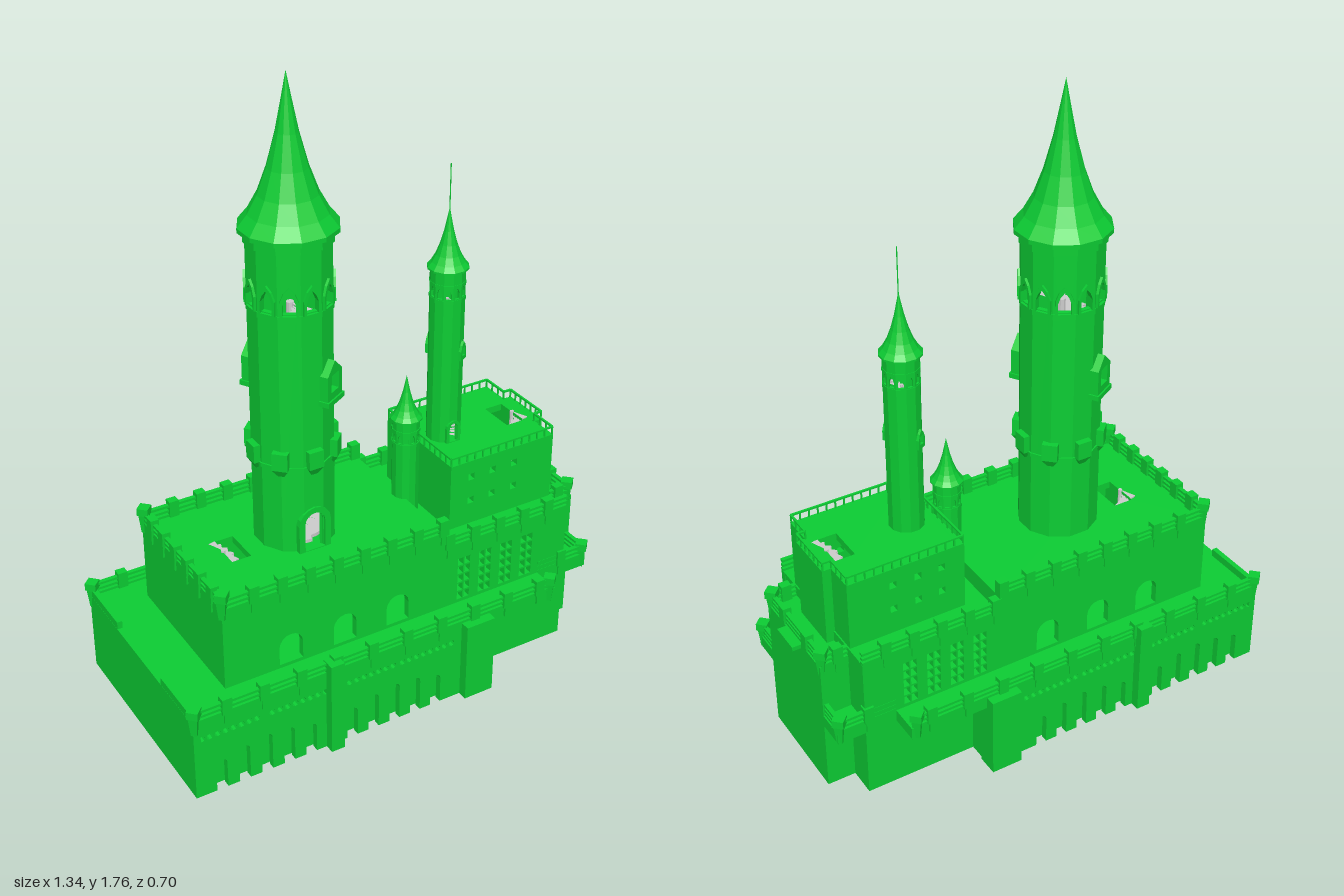
import * as THREE from 'three';

const green = new THREE.MeshStandardMaterial({ color: 0x0ccc33, flatShading: true, side: THREE.DoubleSide });
const grey = new THREE.MeshStandardMaterial({ color: 0xcccccc, flatShading: true, side: THREE.DoubleSide });
const V2 = (p) => new THREE.Vector2(p[0], p[1]);

function add(parent, name, geo, x = 0, y = 0, z = 0, mat = green) {
  const m = new THREE.Mesh(geo, mat);
  m.name = name;
  m.position.set(x, y, z);
  parent.add(m);
  return m;
}
// box given by its limits
function block(parent, name, x0, x1, y0, y1, z0, z1) {
  return add(parent, name, new THREE.BoxGeometry(x1 - x0, y1 - y0, z1 - z0), (x0 + x1) / 2, (y0 + y1) / 2, (z0 + z1) / 2);
}
function group(parent, name, x = 0, y = 0, z = 0) {
  const g = new THREE.Group();
  g.name = name;
  g.position.set(x, y, z);
  parent.add(g);
  return g;
}

// outlines of openings
const rect = (x, y, w, h) => [[x - w / 2, y], [x + w / 2, y], [x + w / 2, y + h], [x - w / 2, y + h]];
const disc = (x, y, r) => Array.from({ length: 8 }, (_, i) => [x + r * Math.cos(i * Math.PI / 4), y + r * Math.sin(i * Math.PI / 4)]);
function arch(x, y, w, h) {
  const pts = [[x - w / 2, y]];
  for (let i = 0; i <= 8; i++) {
    const a = Math.PI * (1 - i / 8);
    pts.push([x + w / 2 * Math.cos(a), y + h - w / 2 + w / 2 * Math.sin(a)]);
  }
  pts.push([x + w / 2, y]);
  return pts;
}
const pointed = (x, y, w, h) => [[x - w / 2, y], [x + w / 2, y], [x + w / 2, y + h * 0.5], [x + w * 0.3, y + h * 0.8], [x, y + h], [x - w * 0.3, y + h * 0.8], [x - w / 2, y + h * 0.5]];

// plate with its outer face at z = 0
function plate(outline, holes, t) {
  const s = new THREE.Shape(outline.map(V2));
  s.holes = holes.map((h) => new THREE.Path(h.map(V2)));
  return new THREE.ExtrudeGeometry(s, { depth: t, bevelEnabled: false }).translate(0, 0, -t);
}
// same wall on the front and the back
function wallPair(parent, name, outline, holes, z, t = 0.02) {
  for (const s of [1, -1]) {
    const flip = (pts) => pts.map(([x, y]) => [x * s, y]);
    add(parent, name, plate(flip(outline), holes.map(flip), t), 0, 0, s * z).rotation.y = s > 0 ? 0 : Math.PI;
  }
}
// flat roof with a stair opening
function roof(parent, name, x0, x1, z, y, hole) {
  const g = plate([[x0, -z], [x1, -z], [x1, z], [x0, z]], hole ? [hole] : [], 0.02);
  add(parent, name, g, 0, y, 0).rotation.x = -Math.PI / 2;
}
// two rails with merlons standing on the given floor
function parapet(parent, [xa, za], [xb, zb], y, at) {
  const g = group(parent, 'parapet', xa, y, za);
  const len = Math.hypot(xb - xa, zb - za);
  g.rotation.y = -Math.atan2(zb - za, xb - xa);
  for (const h of [0.004, 0.018, 0.033]) add(g, 'rail', new THREE.BoxGeometry(len, 0.007, 0.012), len / 2, h, 0);
  for (const d of at) {
    add(g, 'merlon', new THREE.BoxGeometry(0.028, 0.048, 0.024), d, 0.024, 0);
    add(g, 'corbel', new THREE.BoxGeometry(0.016, 0.03, 0.02), d, -0.015, 0);
  }
}
const spaced = (start, step, n) => Array.from({ length: n }, (_, i) => start + i * step);
// square corner turret, wider at the top
function cornerPost(parent, x, y, z) {
  add(parent, 'cornerPost', new THREE.CylinderGeometry(0.018, 0.011, 0.06, 4), x, y, z);
  add(parent, 'cornerPostCap', new THREE.CylinderGeometry(0.022, 0.022, 0.022, 4), x, y + 0.038, z);
}
function spiralStair(parent, x, z, y0, y1, r, theta0 = 0) {
  const g = group(parent, 'spiralStair', x, 0, z);
  const n = Math.round((y1 - y0) / 0.012);
  for (let i = 0; i < n; i++) {
    const step = new THREE.CylinderGeometry(r, r, 0.01, 2, 1, false, theta0 - i * Math.PI / 9, Math.PI / 8);
    add(g, 'step', step, 0, y1 - 0.006 - i * 0.012, 0, grey);
  }
  add(g, 'newel', new THREE.CylinderGeometry(r * 0.12, r * 0.12, y1 - y0, 8), 0, (y0 + y1) / 2, 0, grey);
}
// many-sided hollow tower, holesFor(k) lists the openings of side k
function tower(parent, name, x, y0, y1, r, n, holesFor) {
  const g = group(parent, name, x, 0, 0);
  const w = r * Math.tan(Math.PI / n);
  for (let k = 0; k < n; k++) {
    const a = k * 2 * Math.PI / n;
    const m = add(g, 'towerSide', plate([[-w, y0], [w, y0], [w, y1], [-w, y1]], holesFor(k), r * 0.12), r * Math.sin(a), 0, r * Math.cos(a));
    m.rotation.y = a;
  }
  return g;
}
function turned(parent, name, pts, n) {
  return add(parent, name, new THREE.LatheGeometry(pts.map(V2), n, Math.PI / n));
}
const ring = (parent, name, r, y0, y1, n, inner = r * 0.85) =>
  turned(parent, name, [[inner, y0], [r, y0], [r, y1], [inner, y1]], n);
// flared pointed roof
function spireRoof(parent, r, y0, y1, n) {
  const h = y1 - y0;
  turned(parent, 'spireRoof', [[0, y0], [r, y0], [r, y0 + 0.03 * h], [r * 0.8, y0 + 0.11 * h], [r * 0.6, y0 + 0.23 * h],
    [r * 0.41, y0 + 0.4 * h], [r * 0.23, y0 + 0.62 * h], [r * 0.1, y0 + 0.83 * h], [0, y1]], n);
}

export function createModel() {
  const model = new THREE.Group();
  model.name = 'castle';

  // lower storey: arcaded skin over a plain inner wall, open underneath
  const base = group(model, 'lowerStorey');
  const skin = [[-0.655, 0.24], [-0.655, 0]];
  for (const x0 of [-0.58, -0.19])
    [0.095, 0.112, 0.12, 0.112, 0.095].forEach((h, i) => skin.push(...arch(x0 + i * 0.066, 0, 0.032, h)));
  skin.push([0.24, 0], [0.24, 0.24]);
  const portholes = [];
  for (const x0 of [-0.632, -0.43, -0.222, -0.035])
    for (let i = 0; i < 8; i++) portholes.push(disc(x0 + i * 0.0225, 0.185, 0.009));
  wallPair(base, 'arcadeWall', skin, portholes, 0.32);
  wallPair(base, 'innerWall', rect(-0.2075, 0, 0.895, 0.22), [], 0.295, 0.01);
  wallPair(base, 'recessedWall', rect(0.4, 0, 0.32, 0.22), [], 0.235);
  wallPair(base, 'endWallSide', rect(0.6, 0, 0.08, 0.4), [], 0.155);
  block(base, 'leftEndWall', -0.655, -0.635, 0, 0.24, -0.32, 0.32);
  block(base, 'rightEndWall', 0.62, 0.64, 0, 0.4, -0.155, 0.155);
  block(base, 'terraceFloor', -0.655, 0.47, 0.205, 0.24, -0.318, 0.318);
  block(base, 'rightTerraceFloor', 0.47, 0.64, 0.205, 0.24, -0.235, 0.235);
  block(base, 'upperTerrace', 0.55, 0.64, 0.38, 0.4, -0.155, 0.155);
  block(base, 'balconySlab', 0.64, 0.665, 0.388, 0.4, -0.045, 0.045);
  for (const s of [1, -1]) {
    add(base, 'narrowButtress', new THREE.BoxGeometry(0.04, 0.28, 0.04), -0.25, 0.14, s * 0.327);
    add(base, 'wideButtress', new THREE.BoxGeometry(0.09, 0.24, 0.06), 0.2, 0.12, s * 0.318);
    add(base, 'returnWall', new THREE.BoxGeometry(0.02, 0.22, 0.09), 0.23, 0.11, s * 0.27);
    add(base, 'stepWall', new THREE.BoxGeometry(0.02, 0.22, 0.09), 0.55, 0.11, s * 0.19);
    add(base, 'leftKerb', new THREE.BoxGeometry(0.015, 0.025, 0.18), -0.647, 0.25, s * 0.225);
    parapet(base, [-0.65, s * 0.315], [0.46, s * 0.315], 0.24, spaced(0.09, 0.108, 10));
    parapet(base, [0.47, s * 0.23], [0.635, s * 0.23], 0.24, [0.08]);
    parapet(base, [0.63, s * 0.23], [0.63, s * 0.155], 0.24, []);
    parapet(base, [0.56, s * 0.15], [0.635, s * 0.15], 0.4, [0.03]);
    cornerPost(base, -0.648, 0.235, s * 0.315);
    cornerPost(base, 0.452, 0.235, s * 0.315);
    cornerPost(base, 0.63, 0.235, s * 0.228);
    cornerPost(base, 0.63, 0.4, s * 0.145);
  }
  parapet(base, [0.63, -0.145], [0.63, 0.145], 0.4, [0.08, 0.21]);

  // middle storey: arches and lattice windows through both long walls
  const middle = group(model, 'middleStorey');
  const openings = [-0.325, -0.162, 0.002].map((x) => arch(x, 0.25, 0.07, 0.088));
  for (const x of [0.215, 0.285, 0.355, 0.425])
    for (const dx of [-0.011, 0.011])
      for (let j = 0; j < 5; j++) openings.push(rect(x + dx, 0.25 + j * 0.028, 0.018, 0.023));
  wallPair(middle, 'longWall', [[-0.52, 0.23], [0.56, 0.23], [0.56, 0.43], [0.155, 0.43], [0.155, 0.48], [-0.52, 0.48]], openings, 0.235);
  block(middle, 'leftWall', -0.52, -0.5, 0.23, 0.48, -0.234, 0.234);
  block(middle, 'rightWall', 0.54, 0.559, 0.23, 0.43, -0.234, 0.234);
  block(middle, 'roofStep', 0.14, 0.155, 0.41, 0.48, -0.234, 0.234);
  roof(middle, 'mainRoof', -0.519, 0.154, 0.234, 0.48, rect(-0.368, -0.053, 0.056, 0.106));
  roof(middle, 'lowRoof', 0.15, 0.559, 0.234, 0.43);
  spiralStair(middle, -0.395, 0, 0.24, 0.485, 0.05, Math.PI);
  for (const s of [1, -1]) {
    parapet(middle, [-0.515, s * 0.23], [0.155, s * 0.23], 0.48, spaced(0.085, 0.082, 8));
    parapet(middle, [0.155, s * 0.23], [0.56, s * 0.23], 0.43, spaced(0.01, 0.082, 5));
    cornerPost(middle, -0.515, 0.485, s * 0.228);
  }
  parapet(middle, [-0.515, -0.23], [-0.515, 0.23], 0.48, spaced(0.056, 0.07, 6));

  // keep with small square windows and a railed roof
  const keep = group(model, 'keep');
  const windows = [];
  for (const x of [0.283, 0.353, 0.425]) for (const y of [0.495, 0.57]) windows.push(rect(x, y, 0.02, 0.02));
  wallPair(keep, 'keepWall', rect(0.385, 0.42, 0.34, 0.21), windows, 0.16);
  block(keep, 'keepLeftWall', 0.215, 0.23, 0.42, 0.63, -0.159, 0.159);
  block(keep, 'keepRightWall', 0.54, 0.555, 0.42, 0.63, -0.159, 0.159);
  block(keep, 'keepBay', 0.55, 0.58, 0.39, 0.63, -0.075, 0.075);
  roof(keep, 'keepRoof', 0.216, 0.554, 0.159, 0.63, rect(0.503, -0.053, 0.056, 0.106));
  spiralStair(keep, 0.53, 0, 0.43, 0.634, 0.05, 0);
  const edge = [[0.217, -0.157], [0.553, -0.157], [0.553, -0.073], [0.577, -0.073], [0.577, 0.073], [0.553, 0.073], [0.553, 0.157], [0.217, 0.157]];
  edge.forEach(([x, z], i) => {
    const [x2, z2] = edge[(i + 1) % edge.length];
    const len = Math.hypot(x2 - x, z2 - z);
    const g = group(keep, 'railing', x, 0.63, z);
    g.rotation.y = -Math.atan2(z2 - z, x2 - x);
    add(g, 'handrail', new THREE.BoxGeometry(len, 0.005, 0.006), len / 2, 0.024, 0);
    const n = Math.max(1, Math.round(len / 0.026));
    for (let k = 0; k < n; k++) add(g, 'baluster', new THREE.BoxGeometry(0.004, 0.024, 0.004), k * len / n, 0.012, 0);
  });

  // great tower
  const great = tower(model, 'greatTower', -0.18, 0.47, 1.36, 0.108, 12, (k) => {
    const h = [pointed(0, 1.175, 0.034, 0.06)];
    if (k === 0) h.push(arch(0, 0.482, 0.054, 0.11));
    if (k % 6 === 1) h.push(rect(0, 0.945, 0.03, 0.04));
    if (k % 3 === 0) h.push(rect(0, 0.74, 0.025, 0.025));
    return h;
  });
  const doorFrame = plate(arch(0, 0.48, 0.095, 0.13), [arch(0, 0.482, 0.06, 0.112)], 0.03);
  add(great, 'doorFrame', doorFrame, 0, 0, 0.114);
  ring(great, 'galleryBand', 0.114, 1.155, 1.17, 12);
  ring(great, 'corniceBand', 0.117, 1.335, 1.365, 12);
  ring(great, 'lowerBand', 0.116, 0.727, 0.738, 12);
  for (let k = 0; k < 12; k++) {
    const side = group(great, 'galleryBay');
    side.rotation.y = k * Math.PI / 6;
    add(side, 'windowHood', plate(pointed(0, 1.17, 0.048, 0.078), [pointed(0, 1.172, 0.034, 0.062)], 0.01), 0, 0, 0.115);
  }
  for (let k = 0; k < 8; k++) {
    const bay = group(great, 'oriel');
    bay.rotation.y = k * Math.PI / 4;
    const box = new THREE.CylinderGeometry(0.03, 0.03, 0.05, 4, 1, false, Math.PI / 4);
    add(bay, 'orielBox', box, 0, 0.76, 0.105);
    add(bay, 'orielBracket', new THREE.CylinderGeometry(0.03, 0.012, 0.022, 4, 1, false, Math.PI / 4), 0, 0.724, 0.105);
  }
  for (const a of [Math.PI / 6, Math.PI * 7 / 6]) {
    const bay = group(great, 'gabledWindow');
    bay.rotation.y = a;
    const gable = [[-0.036, 0.92], [0.036, 0.92], [0.036, 0.99], [0, 1.025], [-0.036, 0.99]];
    add(bay, 'gableFrame', plate(gable, [rect(0, 0.94, 0.038, 0.048)], 0.03), 0, 0, 0.128);
    add(bay, 'sill', new THREE.BoxGeometry(0.08, 0.014, 0.035), 0, 0.913, 0.115);
  }
  spireRoof(great, 0.13, 1.36, 1.757, 12);
  spiralStair(great, 0, 0, 0.48, 1.16, 0.09);

  // slim tower on the keep
  const slim = tower(model, 'slimTower', 0.295, 0.62, 1.14, 0.047, 12, (k) => {
    const h = [pointed(0, 1.065, 0.014, 0.03)];
    if (k === 0) h.push(arch(0, 0.632, 0.022, 0.055));
    if (k % 6 === 1) h.push(rect(0, 0.89, 0.014, 0.025));
    return h;
  });
  add(slim, 'slimDoorFrame', plate(arch(0, 0.63, 0.044, 0.066), [arch(0, 0.632, 0.026, 0.056)], 0.014), 0, 0, 0.051);
  for (const a of [Math.PI / 6, Math.PI * 7 / 6]) {
    const frame = plate(pointed(0, 0.878, 0.03, 0.055), [rect(0, 0.89, 0.016, 0.025)], 0.012);
    add(slim, 'slimWindowFrame', frame, 0.054 * Math.sin(a), 0, 0.054 * Math.cos(a)).rotation.y = a;
  }
  ring(slim, 'slimGalleryBand', 0.05, 1.052, 1.062, 12);
  ring(slim, 'slimUpperBand', 0.05, 1.098, 1.106, 12);
  spireRoof(slim, 0.057, 1.14, 1.31, 12);
  add(slim, 'flagpole', new THREE.CylinderGeometry(0.0015, 0.0015, 0.14, 5), 0, 1.36, 0);
  spiralStair(slim, 0, 0, 0.63, 1.05, 0.038);

  // stair turret beside the keep
  const turret = tower(model, 'stairTurret', 0.172, 0.42, 0.72, 0.037, 12, () => [pointed(0, 0.655, 0.011, 0.024)]);
  ring(turret, 'turretBand', 0.04, 0.643, 0.652, 12);
  ring(turret, 'turretUpperBand', 0.04, 0.684, 0.692, 12);
  spireRoof(turret, 0.045, 0.72, 0.85, 12);

  return model;
}
